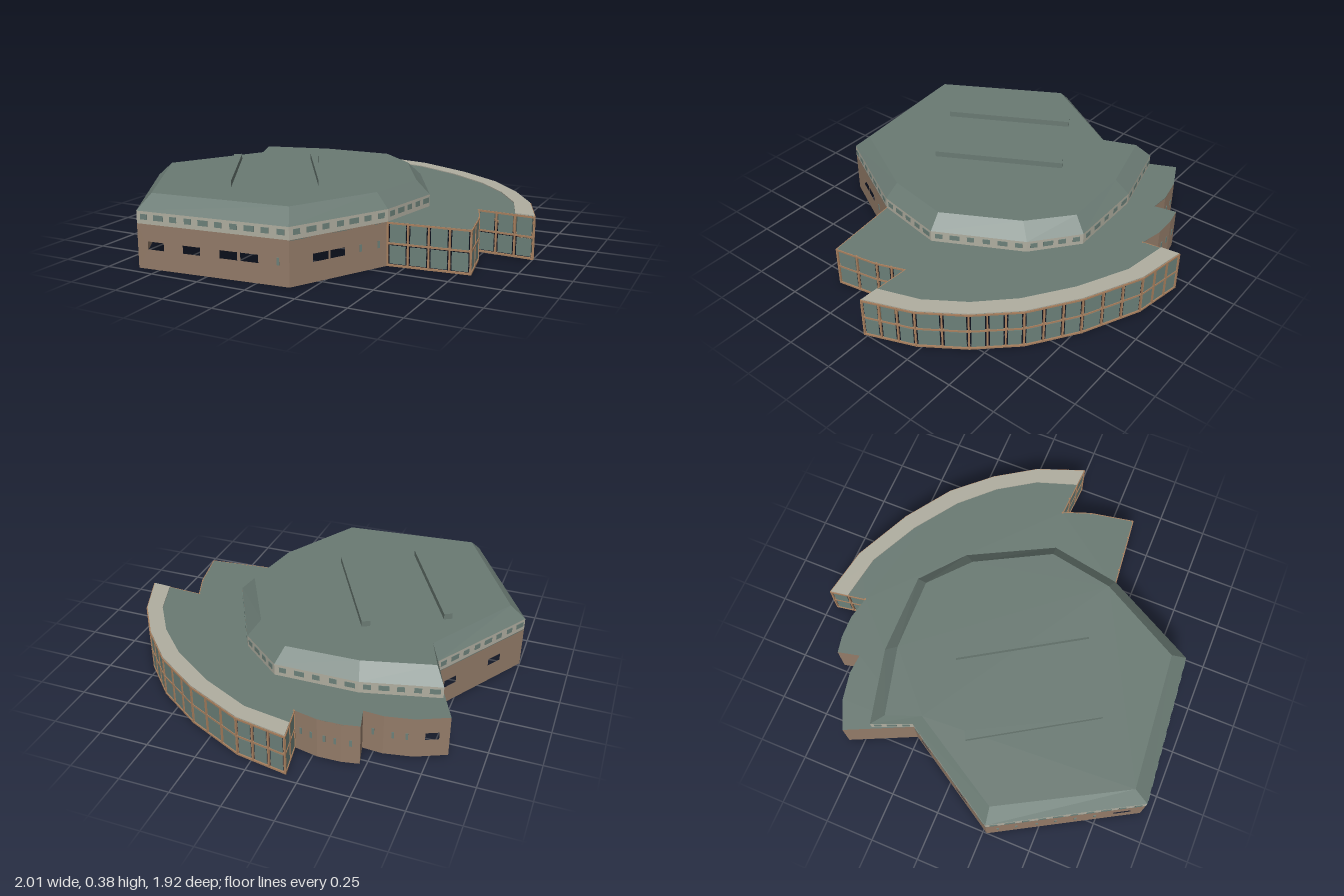
import * as THREE from 'three';

const material = (name, color, side = THREE.FrontSide) => {
  const m = new THREE.MeshStandardMaterial({ color, side });
  m.name = name;
  return m;
};

const WALL_H = 0.215, BAND_TOP = 0.275, ROOF_TOP = 0.345, FIN_TOP = 0.375;

// Plan corners are [x, z], running counterclockwise seen from above.
const FRONT = [[-1, 0.27], [-0.61, 0.95], [0.16, 0.885], [0.415, 0.41]];
const PORCH = [[0.81, 0.37], [0.768, 0.144], [0.716, 0]];
const ARC = [[1, 0.016], [0.91, -0.225], [0.775, -0.43], [0.604, -0.615], [0.37, -0.775], [0.075, -0.914], [-0.18, -0.96]];
const ARC_IN = [[0.904, 0.011], [0.834, -0.198], [0.711, -0.385], [0.55, -0.55], [0.326, -0.706], [0.07, -0.83], [-0.166, -0.868]];
const BACK = [[-0.15, -0.775], [-0.27, -0.8], [-0.385, -0.797], [-0.47, -0.78], [-0.444, -0.668],
  [-0.545, -0.674], [-0.684, -0.647], [-0.83, -0.578], [-0.68, -0.255]];
const UPPER = [...FRONT, [0.48, 0.05], [0.26, -0.37], [0.04, -0.55], [-0.38, -0.545], [-0.76, -0.45], [-0.68, -0.255]];
const UPPER_IN = [[-0.92, 0.26], [-0.58, 0.87], [0.12, 0.81], [0.35, 0.39], [0.41, 0.06],
  [0.21, -0.31], [0.01, -0.485], [-0.36, -0.475], [-0.706, -0.385], [-0.64, -0.215]];

// Openings by wall: [start, end] fractions for windows, fractions for slits.
const OPENINGS = [
  { windows: [[0.81, 0.92]], slits: [0.075, 0.19, 0.32, 0.44, 0.565, 0.69] },
  { windows: [[0.07, 0.18], [0.31, 0.425], [0.555, 0.67], [0.69, 0.805]], slits: [0.93] },
  { windows: [[0.23, 0.38], [0.4, 0.55]], slits: [0.71, 0.9] },
];
const BACK_OPENINGS = {
  0: { windows: [], slits: [0.3, 0.75] },
  1: { windows: [], slits: [0.3, 0.75] },
  2: { windows: [], slits: [0.5] },
  4: { windows: [], slits: [0.5] },
  5: { windows: [], slits: [0.3, 0.75] },
  6: { windows: [[0.3, 0.7]], slits: [] },
  8: { windows: [[0.09, 0.22], [0.59, 0.73]], slits: [] },
};

export function createModel() {
  const model = new THREE.Group();
  model.name = 'building';
  const roofMat = material('roof green', 0x6a7a73, THREE.DoubleSide);
  const wallMat = material('brown wall', 0x937b68, THREE.DoubleSide);
  const creamMat = material('cream trim', 0xb0aea0, THREE.DoubleSide);
  const glassMat = material('glass green', 0x6c8079);
  const frameMat = material('copper frame', 0xa8805f);

  const add = (parent, name, geometry, mat, x = 0, y = 0, z = 0) => {
    const mesh = new THREE.Mesh(geometry, mat);
    mesh.name = name;
    mesh.position.set(x, y, z);
    parent.add(mesh);
    return mesh;
  };
  const box = (parent, name, w, h, d, mat, x, y, z = 0) =>
    add(parent, name, new THREE.BoxGeometry(w, h, d), mat, x, y, z);

  // Horizontal plate or prism from plan corners
  const slab = (name, pts, y, height, mat) => {
    const shape = new THREE.Shape(pts.map(([x, z]) => new THREE.Vector2(x, -z)));
    const g = new THREE.ExtrudeGeometry(shape, { depth: height, bevelEnabled: false });
    g.rotateX(-Math.PI / 2);
    return add(model, name, g, mat, 0, y, 0);
  };

  // Ring of flat faces between two closed outlines
  const skirt = (name, a, ya, b, yb, mat) => {
    const pos = [];
    a.forEach((p, i) => {
      const j = (i + 1) % a.length;
      const A = [p[0], ya, p[1]], B = [a[j][0], ya, a[j][1]];
      const C = [b[j][0], yb, b[j][1]], D = [b[i][0], yb, b[i][1]];
      pos.push(...A, ...B, ...C, ...A, ...C, ...D);
    });
    const g = new THREE.BufferGeometry();
    g.setAttribute('position', new THREE.Float32BufferAttribute(pos, 3));
    g.computeVertexNormals();
    return add(model, name, g, mat);
  };

  // Group lying along a wall: local x runs along it, local z points outward
  const along = (name, a, b) => {
    const group = new THREE.Group();
    group.name = name;
    group.position.set(a[0], 0, a[1]);
    group.rotation.y = Math.atan2(a[1] - b[1], b[0] - a[0]);
    model.add(group);
    return [group, Math.hypot(b[0] - a[0], b[1] - a[1])];
  };

  // Brown wall with open windows and glazed slits
  const brownWall = (a, b, { windows, slits } = { windows: [], slits: [] }) => {
    const [g, len] = along('brownWall', a, b);
    const rect = (S, x0, y0, x1, y1) => new S([[x0, y0], [x1, y0], [x1, y1], [x0, y1]].map(p => new THREE.Vector2(...p)));
    const shape = rect(THREE.Shape, 0, 0, len, WALL_H);
    for (const [s, e] of windows) shape.holes.push(rect(THREE.Path, s * len, 0.095, e * len, 0.133));
    add(g, 'wallPanel', new THREE.ShapeGeometry(shape), wallMat);
    for (const t of slits) box(g, 'slitWindow', 0.012, 0.034, 0.006, glassMat, t * len, 0.114);
  };

  // Glazed wall: bays of two panes between copper bars
  const glassWall = (a, b) => {
    const [g, len] = along('glassWall', a, b);
    const bays = Math.max(1, Math.round(len / 0.1));
    const w = len / bays;
    for (let i = 0; i <= bays; i++) box(g, 'mullion', 0.008, WALL_H, 0.01, frameMat, i * w, WALL_H / 2);
    for (const y of [0.005, 0.112, 0.21]) box(g, 'rail', len, 0.009, 0.01, frameMat, len / 2, y);
    for (let i = 0; i < bays; i++) {
      for (const y of [0.058, 0.161]) box(g, 'pane', w - 0.022, 0.088, 0.004, glassMat, (i + 0.5) * w, y);
    }
  };

  // Ground floor walls
  FRONT.slice(0, -1).forEach((p, i) => brownWall(p, FRONT[i + 1], OPENINGS[i]));
  const glazed = [FRONT[3], ...PORCH, ...ARC, BACK[0]];
  glazed.slice(0, -1).forEach((p, i) => glassWall(p, glazed[i + 1]));
  BACK.forEach((p, i) => brownWall(p, BACK[i + 1] || FRONT[0], BACK_OPENINGS[i]));

  // Lower roof with the pale curved edge
  slab('lowerRoof', [...FRONT, ...PORCH, ...ARC, ...BACK], WALL_H - 0.004, 0.004, roofMat);
  slab('curvedRoofEdge', [...ARC, ...[...ARC_IN].reverse()], WALL_H, 0.005, creamMat);

  // Upper storey: pale band, sloping eaves and flat top
  skirt('upperBand', UPPER, WALL_H, UPPER, BAND_TOP, creamMat);
  skirt('slopingRoof', UPPER, BAND_TOP, UPPER_IN, ROOF_TOP, roofMat);
  slab('flatRoof', UPPER_IN, ROOF_TOP - 0.002, 0.002, roofMat);

  // Row of small windows around the band
  UPPER.forEach((p, i) => {
    const [g, len] = along('bandWindows', p, UPPER[(i + 1) % UPPER.length]);
    const n = Math.max(2, Math.round(len / 0.08));
    for (let k = 0; k < n; k++) {
      box(g, 'bandWindow', k % 3 === 1 ? 0.05 : 0.036, 0.026, 0.006, glassMat, (k + 0.5) * len / n, 0.249);
    }
  });

  // Two tapering roof fins
  for (const [dx, dz] of [[0, 0], [-0.36, 0.207]]) {
    const fin = [[-0.313, -0.176], [0.043, 0.396], [-0.276, -0.198]].map(([x, z]) => [x + dx, z + dz]);
    slab('roofFin', fin, ROOF_TOP, FIN_TOP - ROOF_TOP, roofMat);
  }
  return model;
}
